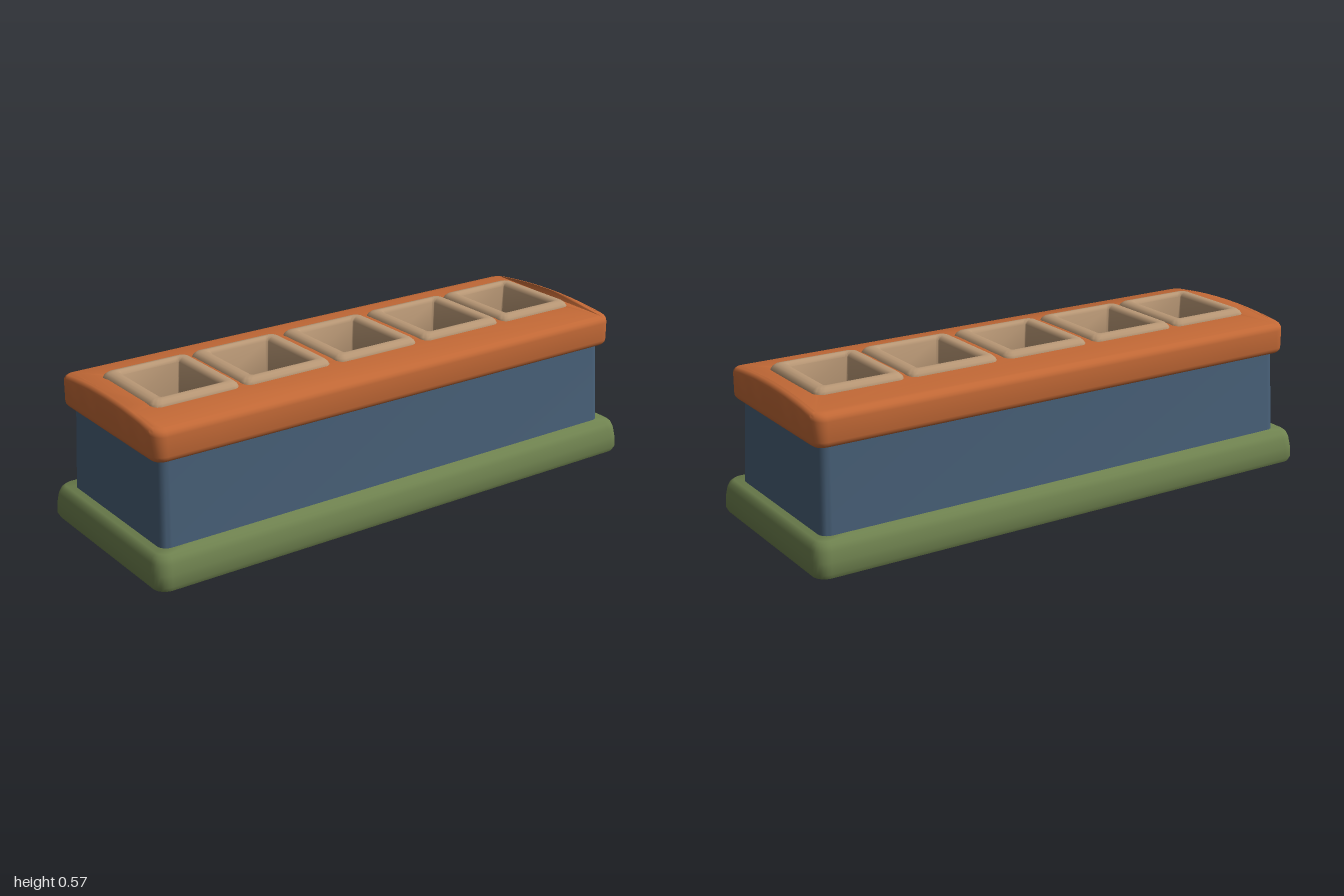
import * as THREE from 'three';
import { toCreasedNormals } from 'three/addons/utils/BufferGeometryUtils.js';

const material = (name, color) => {
  const m = new THREE.MeshStandardMaterial({ color });
  m.name = name;
  return m;
};

// Counter-clockwise rounded rectangle (half width, half depth, corner radius)
function roundedRect(w, d, r, sideSteps = 1) {
  const corners = [[1, -1], [1, 1], [-1, 1], [-1, -1]];
  const pts = [];
  corners.forEach(([sx, sy], k) => {
    for (let i = 0; i <= 6; i++) {
      const a = (k - 1 + i / 6) * Math.PI / 2;
      pts.push(new THREE.Vector2(sx * (w - r) + r * Math.cos(a), sy * (d - r) + r * Math.sin(a)));
    }
    const last = pts[pts.length - 1];
    const a = k * Math.PI / 2;
    const [nx, ny] = corners[(k + 1) % 4];
    const next = new THREE.Vector2(nx * (w - r) + r * Math.cos(a), ny * (d - r) + r * Math.sin(a));
    for (let i = 1; i < sideSteps; i++) pts.push(last.clone().lerp(next, i / sideSteps));
  });
  return pts;
}

// Skin through stacked loops [half width, half depth, corner radius, y]
function loft(loops, crease = 0.75) {
  const pos = [], idx = [];
  let n = 0;
  loops.forEach(([w, d, r, y]) => {
    const ring = roundedRect(w, d, r);
    n = ring.length;
    ring.forEach((p) => pos.push(p.x, y, -p.y));
  });
  for (let i = 0; i < loops.length - 1; i++) {
    for (let j = 0; j < n; j++) {
      const a = i * n + j, b = i * n + (j + 1) % n;
      idx.push(a, b, b + n, a, b + n, a + n);
    }
  }
  const g = new THREE.BufferGeometry();
  g.setAttribute('position', new THREE.Float32BufferAttribute(pos, 3));
  g.setIndex(idx);
  return toCreasedNormals(g, crease);
}

export function createModel() {
  const group = new THREE.Group();
  const green = material('moss green', 0x6f824f);
  const blue = material('slate blue', 0x486078);
  const orange = material('burnt orange', 0xc36936);
  const tan = material('tan', 0xb89775);
  const add = (name, geometry, mat) => {
    const mesh = new THREE.Mesh(geometry, mat);
    mesh.name = name;
    group.add(mesh);
    return mesh;
  };

  // Soft-edged plinth
  add('base', loft([
    [0, 0, 0, 0], [0.975, 0.35, 0.03, 0], [0.992, 0.366, 0.045, 0.006], [1, 0.373, 0.05, 0.022],
    [0.998, 0.37, 0.05, 0.06], [0.993, 0.364, 0.05, 0.095], [0.985, 0.355, 0.045, 0.113],
    [0.972, 0.342, 0.035, 0.123], [0, 0, 0, 0.124],
  ]), green);

  // Slightly tapered body
  add('body', loft([
    [0, 0, 0, 0.11], [0.946, 0.308, 0.035, 0.11], [0.935, 0.293, 0.035, 0.425], [0, 0, 0, 0.425],
  ]), blue);

  // Cups: centre x, outer half width, opening half width
  const cups = [[-0.72, 0.164, 0.11], [-0.37, 0.174, 0.118], [0, 0.171, 0.115],
    [0.37, 0.174, 0.118], [0.72, 0.164, 0.11]];

  // Lid with openings, its top bent into a shallow arch across the depth
  const bevel = 0.022;
  const shape = new THREE.Shape(roundedRect(0.963, 0.323, 0.045, 10));
  cups.forEach(([x, , w]) => {
    const hole = roundedRect(w + 0.015, 0.145, 0.01).reverse();
    shape.holes.push(new THREE.Path(hole.map((p) => p.setX(p.x + x))));
  });
  const lid = new THREE.ExtrudeGeometry(shape, {
    depth: 0.11 - 2 * bevel, bevelSize: bevel, bevelThickness: bevel,
    bevelOffset: -bevel, bevelSegments: 4, steps: 1,
  });
  lid.rotateX(-Math.PI / 2);
  lid.translate(0, 0.42 + bevel, 0);
  const p = lid.attributes.position;
  for (let i = 0; i < p.count; i++) {
    const t = p.getZ(i) / 0.323;
    if (p.getY(i) > 0.5) p.setY(i, p.getY(i) + 0.025 * (1 - t * t));
  }
  add('lid', toCreasedNormals(lid, 0.75), orange);

  // Square cups with rounded rims, sunk into the lid
  cups.forEach(([x, w, inner], i) => {
    const d = 0.181;
    const cup = add('cup' + (i + 1), loft([
      [w, d, 0.03, 0.525], [w, d, 0.03, 0.547], [w - 0.004, d - 0.004, 0.03, 0.556],
      [w - 0.013, d - 0.014, 0.026, 0.564], [w - 0.025, d - 0.027, 0.02, 0.567],
      [inner + 0.016, 0.148, 0.016, 0.567], [inner + 0.006, 0.14, 0.012, 0.563],
      [inner, 0.134, 0.01, 0.553], [inner - 0.006, 0.129, 0.008, 0.435], [0, 0, 0, 0.435],
    ]), tan);
    cup.position.x = x;
  });
  return group;
}
